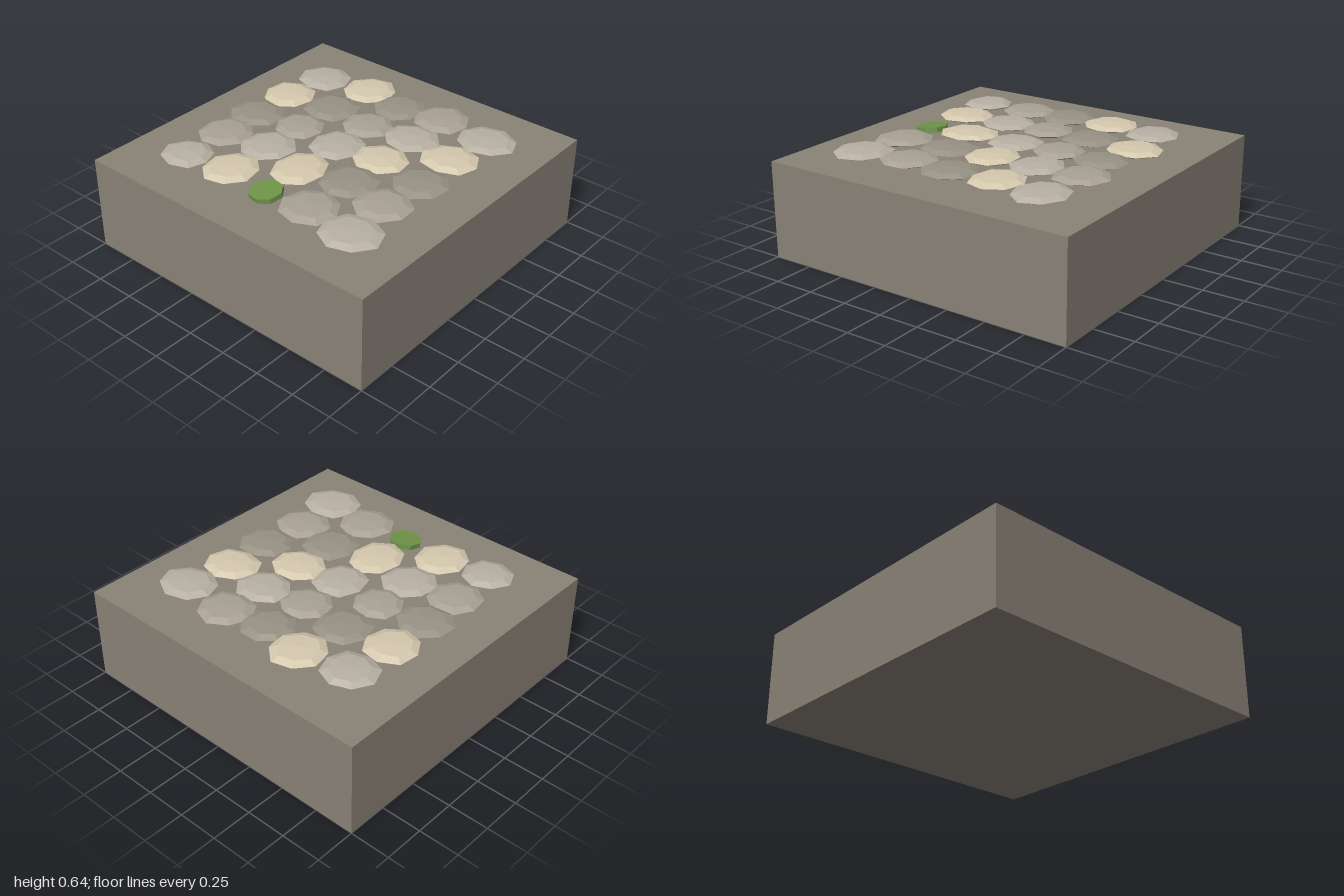
import * as THREE from 'three';

const mat = (color) => new THREE.MeshStandardMaterial({ color, flatShading: true });

// Flattened faceted pebble, turned before it is stretched to its footprint
function makeStone(rx, rz, turn, material) {
  const geo = new THREE.SphereGeometry(1, 8, 4);
  geo.rotateY(turn);
  const p = geo.attributes.position;
  for (let i = 0; i < p.count; i++) {
    // gentle irregularity that depends on position, so seams stay closed
    const x = p.getX(i), y = p.getY(i), z = p.getZ(i);
    const k = 1 + 0.04 * Math.sin(3 * x + 5 * z + turn * 7);
    p.setXYZ(i, x * k, y, z * k);
  }
  geo.scale(rx * 1.02, 0.025, rz * 1.02);
  geo.computeVertexNormals();
  return new THREE.Mesh(geo, material);
}

export function createModel() {
  const model = new THREE.Group();
  model.name = 'cobbledBlock';

  // Base block
  const baseHeight = 0.59;
  const base = new THREE.Mesh(new THREE.BoxGeometry(2, baseHeight, 2), mat(0x8a8277));
  base.name = 'baseBlock';
  base.position.y = baseHeight / 2;
  model.add(base);

  // Cobbles, row by row from the back: [x, z, half width, half depth]
  const rows = [
    [[-0.635, -0.605, 0.15, 0.155], [-0.32, -0.615, 0.17, 0.16], [-0.03, -0.625, 0.16, 0.17], [0.27, -0.64, 0.165, 0.16], [0.58, -0.61, 0.16, 0.165]],
    [[-0.59, -0.305, 0.175, 0.16], [-0.27, -0.31, 0.165, 0.165], [0.015, -0.325, 0.15, 0.15], [0.315, -0.325, 0.17, 0.165], [0.635, -0.29, 0.17, 0.165]],
    [null, [-0.34, -0.005, 0.185, 0.155], [-0.01, -0.01, 0.17, 0.155], [0.29, -0.02, 0.155, 0.155], [0.58, -0.01, 0.16, 0.155]],
    [[-0.595, 0.3, 0.17, 0.175], [-0.265, 0.295, 0.175, 0.165], [0.035, 0.285, 0.155, 0.17], [0.335, 0.27, 0.155, 0.17], [0.63, 0.28, 0.165, 0.17]],
    [[-0.64, 0.62, 0.17, 0.185], [-0.325, 0.59, 0.165, 0.17], [-0.02, 0.605, 0.165, 0.165], [0.29, 0.585, 0.16, 0.175], [0.595, 0.625, 0.16, 0.185]],
  ];
  const stoneMats = [0xb8b0a4, 0xa9a195, 0x989285, 0xd5c9ae].map(mat);
  const cobbles = new THREE.Group();
  cobbles.name = 'cobbles';
  rows.forEach((row, r) => row.forEach((s, c) => {
    if (!s) return;
    const stone = makeStone(s[2], s[3], (r * 5 + c) * 1.37, stoneMats[(c + 3 * r) % 4]);
    stone.name = `cobble_${r}_${c}`;
    stone.position.set(s[0], 0.62, s[1]);
    cobbles.add(stone);
  }));
  model.add(cobbles);

  // Moss patch filling the missing cobble
  const moss = new THREE.Mesh(new THREE.CylinderGeometry(0.1, 0.1, 0.03, 8), mat(0x6f9448));
  moss.name = 'mossPatch';
  moss.position.set(-0.625, 0.61, 0.005);
  moss.rotation.set(-0.06, 0.2, 0.1);
  model.add(moss);

  return model;
}
